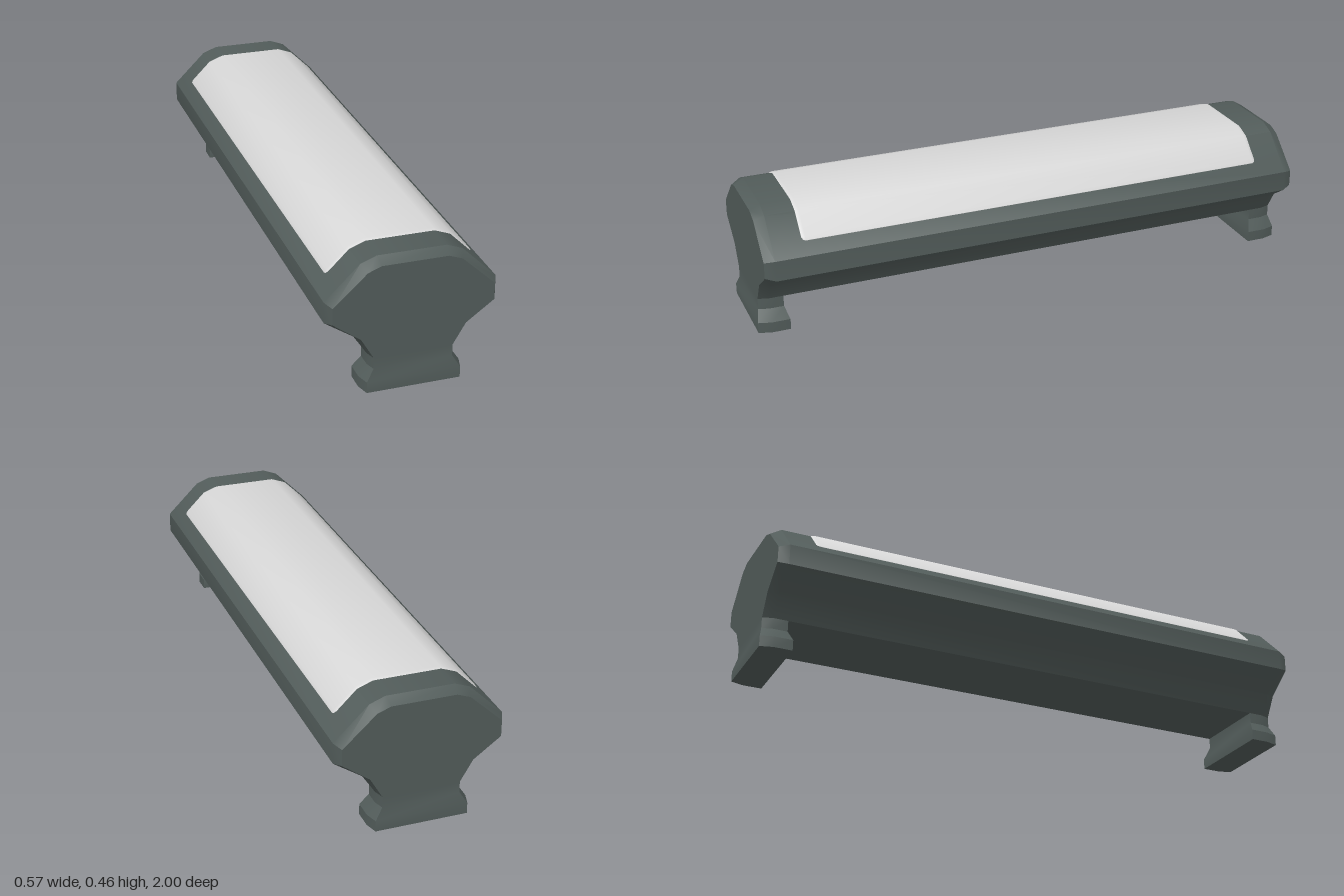
import * as THREE from 'three';
import { toCreasedNormals } from 'three/addons/utils/BufferGeometryUtils.js';

// Joins counter-clockwise rings [{z, pts:[[x,y],...]}] along +z and caps both ends
function loft(rings, crease = 0.5) {
  const pos = [], idx = [], n = rings[0].pts.length;
  rings.forEach(r => r.pts.forEach(p => pos.push(p[0], p[1], r.z)));
  for (let i = 0; i < rings.length - 1; i++) {
    for (let j = 0; j < n; j++) {
      const k = (j + 1) % n;
      const a = i * n + j, b = i * n + k, c = b + n, d = a + n;
      idx.push(a, b, c, a, c, d);
    }
  }
  const cap = (ring, base, flip) => {
    const contour = ring.pts.map(p => new THREE.Vector2(p[0], p[1]));
    for (const [a, b, c] of THREE.ShapeUtils.triangulateShape(contour, [])) {
      idx.push(base + a, base + (flip ? c : b), base + (flip ? b : c));
    }
  };
  cap(rings[0], 0, true);
  cap(rings[rings.length - 1], (rings.length - 1) * n, false);
  const g = new THREE.BufferGeometry();
  g.setAttribute('position', new THREE.Float32BufferAttribute(pos, 3));
  g.setIndex(idx);
  return toCreasedNormals(g, crease);
}

// Right half (bottom to top) plus its mirror image
const mirror = half => [...half, ...half.slice().reverse().map(([x, y]) => [-x, y])];

export function createModel() {
  const group = new THREE.Group();
  const housingGrey = new THREE.MeshStandardMaterial({ color: 0x525c5a });
  housingGrey.name = 'housing grey';
  const diffuserWhite = new THREE.MeshStandardMaterial({ color: 0xd8d8d8 });
  diffuserWhite.name = 'diffuser white';
  const add = (name, geometry, material) => {
    const mesh = new THREE.Mesh(geometry, material);
    mesh.name = name;
    group.add(mesh);
    return mesh;
  };

  // Long housing with chamfered ends
  const outer = mirror([[0.143, 0.117], [0.188, 0.185], [0.285, 0.25], [0.285, 0.322], [0.168, 0.437], [0.115, 0.457]]);
  const inner = mirror([[0.132, 0.117], [0.175, 0.19], [0.268, 0.258], [0.268, 0.315], [0.155, 0.42], [0.11, 0.437]]);
  add('housing', loft([
    { z: -0.99, pts: inner }, { z: -0.955, pts: outer },
    { z: 0.955, pts: outer }, { z: 0.99, pts: inner },
  ]), housingGrey);

  // Flared feet: sections by height, [y, half width, outer-face half width, inner z, outer z]
  const footSections = [
    [0, 0.17, 0.157, 0.89, 1],
    [0.038, 0.17, 0.157, 0.89, 1],
    [0.078, 0.143, 0.132, 0.903, 0.99],
    [0.117, 0.143, 0.132, 0.903, 0.99],
  ];
  const footGeometry = loft(footSections.map(([y, w, wo, zi, zo]) => ({
    z: y,
    pts: [[-wo, -zo], [wo, -zo], [w, -0.955], [w, -zi], [-w, -zi], [-w, -0.955]],
  })), 0.4).rotateX(-Math.PI / 2);
  add('frontFoot', footGeometry, housingGrey);
  add('backFoot', footGeometry, housingGrey).rotation.y = Math.PI;

  // Diffuser cover following the housing top, with bevelled, rounded corners
  const coverSection = (w, h) => {
    const edgeY = 0.437 - (w - 0.168) * 0.983;
    return mirror([
      [0.11, 0.445], [0.16, 0.425], [w, edgeY - 0.01], [w, edgeY + h * 0.3],
      [w - 0.006, edgeY + 0.006 + h * 1.5], [0.169, 0.437 + h * 1.2], [0.116, 0.457 + h],
    ]);
  };
  const ends = [[0.852, 0.236, 0], [0.848, 0.243, 0.002], [0.84, 0.246, 0.0035]];
  const rings = [
    ...ends.map(([z, w, h]) => ({ z: -z, pts: coverSection(w, h) })),
    ...ends.slice().reverse().map(([z, w, h]) => ({ z, pts: coverSection(w, h) })),
  ];
  add('diffuser', loft(rings), diffuserWhite);

  return group;
}
